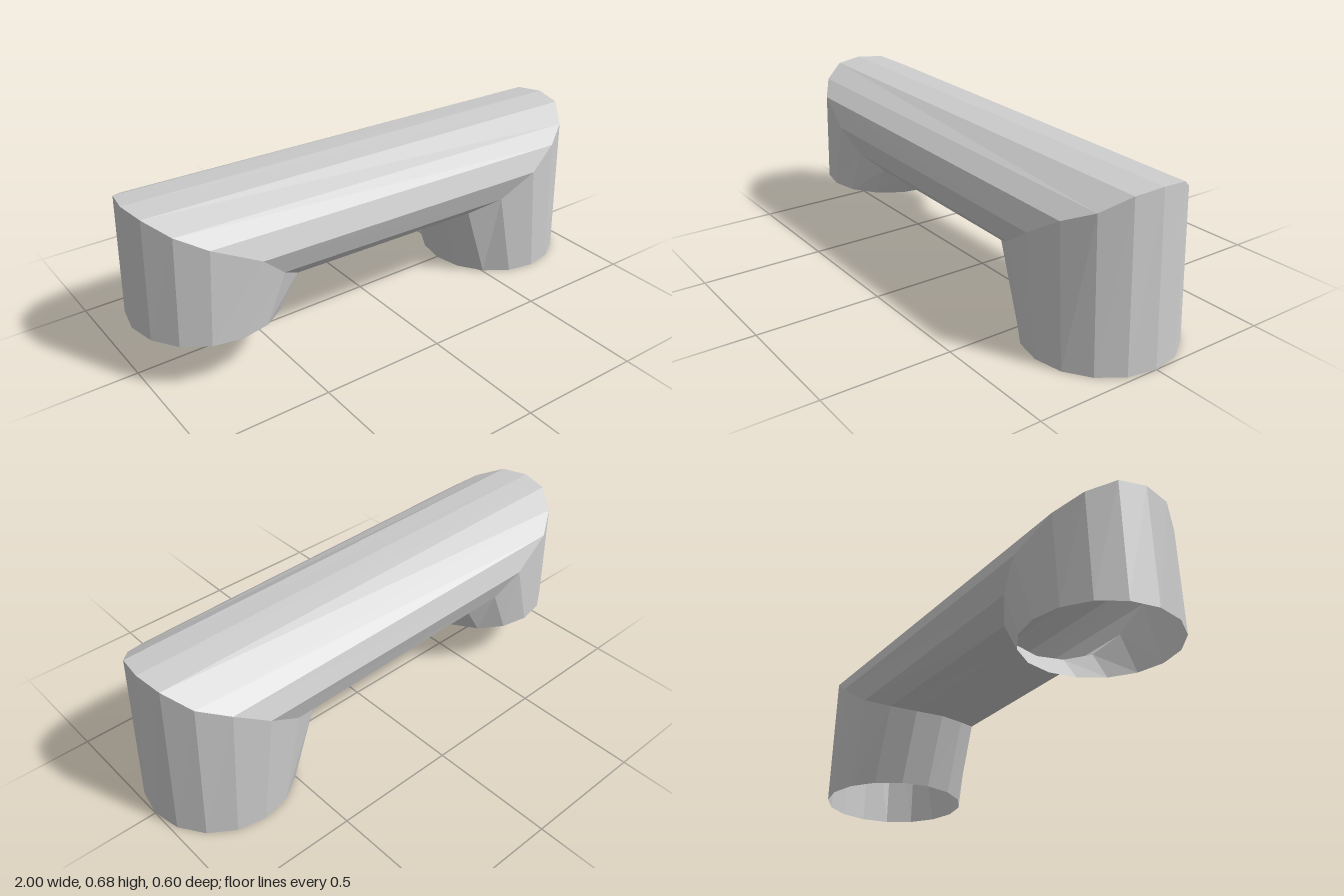
import * as THREE from 'three';

const SIDES = 16, R = 0.29;
// half of each mitred elbow, from outer corner to inner corner: x, y
const ELBOW_RIGHT = [[-0.985, 0.68], [-0.965, 0.67], [-0.9, 0.624], [-0.8, 0.572], [-0.62, 0.485],
  [-0.52, 0.39], [-0.43, 0.325], [-0.37, 0.302], [-0.35, 0.295]];
const ELBOW_LEFT = [[0.977, 0.653], [0.96, 0.641], [0.895, 0.585], [0.79, 0.538], [0.66, 0.46],
  [0.52, 0.365], [0.4, 0.31], [0.34, 0.288], [0.315, 0.283]];

// round open end of a leg, starting at its outer side
const footRing = (side, y) => Array.from({ length: SIDES }, (_, k) => {
  const a = k / SIDES * Math.PI * 2;
  return [side * (0.71 + R * Math.cos(a)), y, R * Math.sin(a)];
});

// elbow ring, mirrored front to back, slightly swollen at the sides
const elbowRing = (half) => Array.from({ length: SIDES }, (_, k) => {
  const [x, y] = half[k <= 8 ? k : SIDES - k];
  const z = k % 8 === 4 ? 0.3 : R * Math.abs(Math.sin(k / SIDES * Math.PI * 2));
  return [x, y, k <= 8 ? z : -z];
});

// faceted open wall between two rings
function wall(name, r0, r1, material) {
  const p = [];
  for (let k = 0; k < SIDES; k++) {
    const n = (k + 1) % SIDES;
    p.push(...r0[k], ...r0[n], ...r1[n], ...r0[k], ...r1[n], ...r1[k]);
  }
  const g = new THREE.BufferGeometry();
  g.setAttribute('position', new THREE.Float32BufferAttribute(p, 3));
  g.computeVertexNormals();
  const mesh = new THREE.Mesh(g, material);
  mesh.name = name;
  return mesh;
}

export function createModel() {
  const group = new THREE.Group();
  group.name = 'bentPipe';
  const grey = new THREE.MeshStandardMaterial({ color: 0xcccccc, flatShading: true, side: THREE.DoubleSide });
  grey.name = 'light grey';

  const rings = [footRing(-1, 0.2), elbowRing(ELBOW_RIGHT), elbowRing(ELBOW_LEFT), footRing(1, 0)];
  ['shortLeg', 'crossPipe', 'longLeg'].forEach((name, i) => group.add(wall(name, rings[i], rings[i + 1], grey)));
  return group;
}
